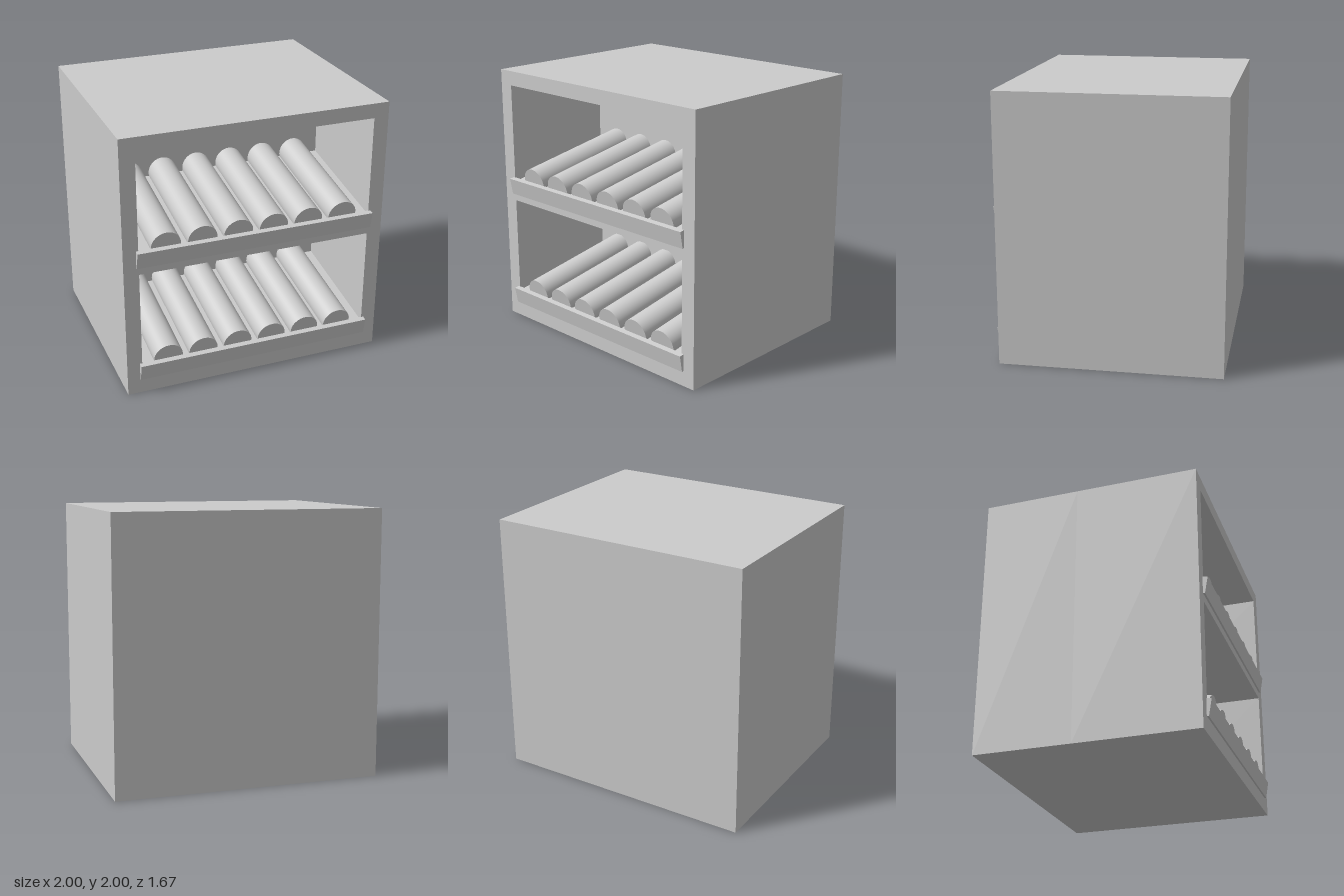
import * as THREE from 'three';

const material = new THREE.MeshStandardMaterial({ color: 0xcccccc });
const TILT = THREE.MathUtils.degToRad(10);
const FRONT = 0.8, WALL = -0.11, BACK = -0.835; // z of the face, the recess wall and the back
const HALF = 0.887;                             // half width of the recesses
const LEVELS = [0, 0.915];                      // height offset of each shelf

function part(name, geometry, parent) {
  const mesh = new THREE.Mesh(geometry, material);
  mesh.name = name;
  parent.add(mesh);
  return mesh;
}

// Cabinet face and side walls with two rectangular recesses
function frameGeometry() {
  const rect = (Type, x, y0, y1) => {
    const path = new Type();
    path.moveTo(-x, y0).lineTo(x, y0).lineTo(x, y1).lineTo(-x, y1).closePath();
    return path;
  };
  const shape = rect(THREE.Shape, 1, 0, 2);
  for (const y of LEVELS) shape.holes.push(rect(THREE.Path, HALF, y + 0.16, y + 0.975));
  return new THREE.ExtrudeGeometry(shape, { depth: FRONT - WALL, bevelEnabled: false })
    .translate(0, 0, WALL);
}

// Wedge-shaped floor that rises towards the recess wall
function floorGeometry() {
  const profile = new THREE.Shape([
    [FRONT, 0.16], [FRONT, 0.215], [WALL, 0.215 + (FRONT - WALL) * Math.tan(TILT)], [WALL, 0.16],
  ].map(([z, y]) => new THREE.Vector2(z, y)));
  return new THREE.ExtrudeGeometry(profile, { depth: 2 * HALF, bevelEnabled: false })
    .rotateY(-Math.PI / 2).translate(HALF, 0, 0);
}

function createShelf() {
  const shelf = new THREE.Group();
  shelf.name = 'shelf';
  part('slopedFloor', floorGeometry(), shelf);

  // Tilted retaining lip across the front
  const lip = part('frontLip', new THREE.BoxGeometry(1.81, 0.127, 0.04), shelf);
  lip.position.set(0, 0.181, 0.806);
  lip.rotation.x = TILT;

  // Row of tilted rollers, front ends just behind the lip
  const length = 0.925;
  const roller = new THREE.CylinderGeometry(0.11, 0.11, length, 40)
    .rotateX(Math.PI / 2).translate(0, 0, -length / 2);
  for (let i = 0; i < 6; i++) {
    const mesh = part('roller', roller, shelf);
    mesh.position.set((i - 2.5) * 0.272, 0.242, 0.78);
    mesh.rotation.x = TILT;
  }
  return shelf;
}

export function createModel() {
  const model = new THREE.Group();
  model.name = 'rollerCabinet';

  part('cabinetFrame', frameGeometry(), model);
  const rear = part('cabinetRear', new THREE.BoxGeometry(2, 2, WALL - BACK), model);
  rear.position.set(0, 1, (WALL + BACK) / 2);

  for (const y of LEVELS) {
    const shelf = createShelf();
    shelf.position.y = y;
    model.add(shelf);
  }
  return model;
}
